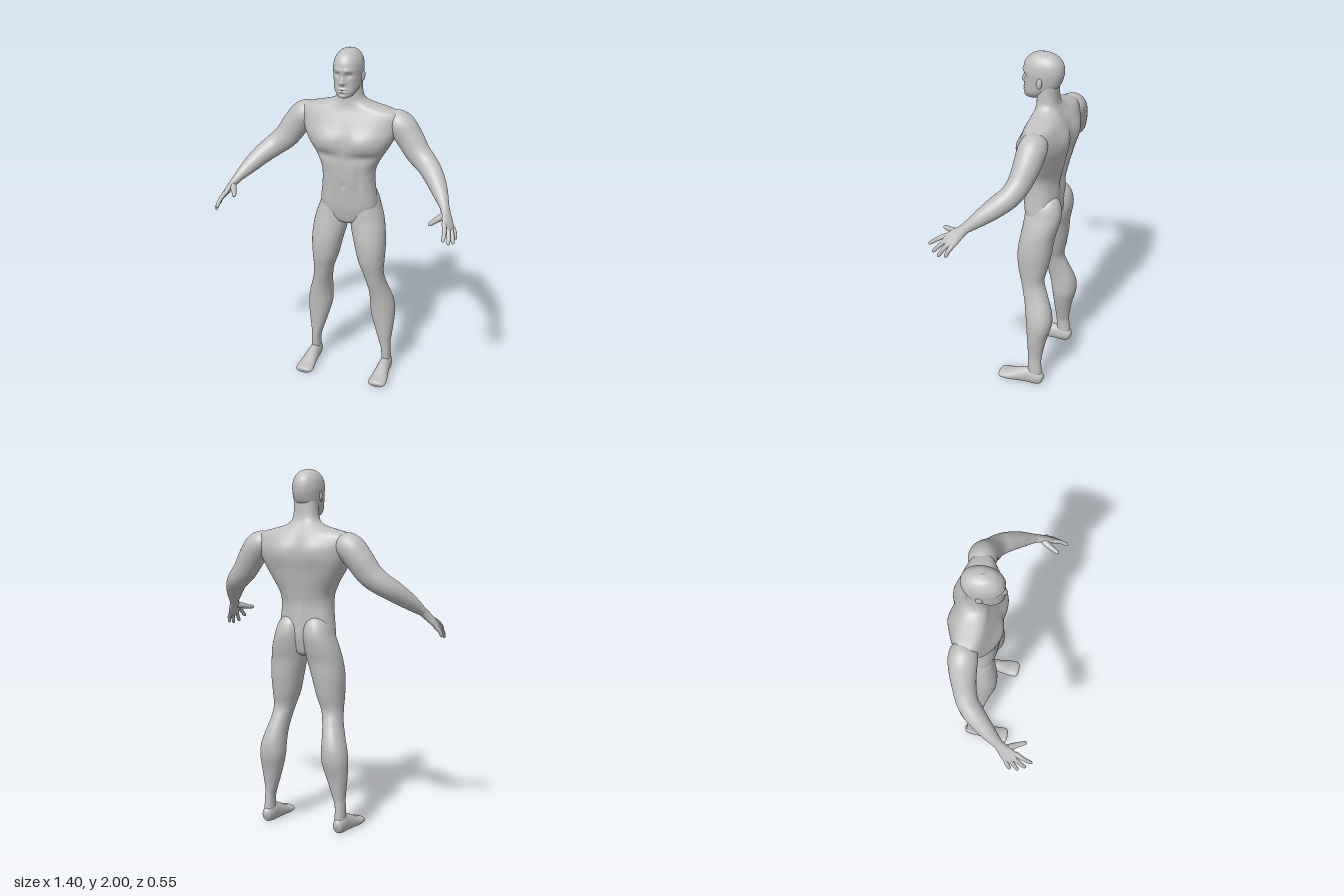
import * as THREE from 'three';

const skin = new THREE.MeshStandardMaterial({ color: 0xc0c0c0 });
skin.name = 'plainGrey';

const bell = (d, s) => Math.exp(-((d / s) ** 2));
const clamp01 = (v) => Math.min(1, Math.max(0, v));

// Smooth interpolation through rows of numbers, u from 0 to 1
function sampleRows(rows, u) {
  const f = u * (rows.length - 1);
  const i = Math.min(Math.floor(f), rows.length - 2);
  const t = f - i;
  const row = (k) => rows[Math.min(Math.max(k, 0), rows.length - 1)];
  return row(i).map((b, k) => {
    const a = row(i - 1)[k], c = row(i + 1)[k], d = row(i + 2)[k];
    return b + 0.5 * t * (c - a + t * (2 * a - 5 * b + 4 * c - d + t * (3 * (b - c) + d - a)));
  });
}

// Closed skin over rings; place(u, cos, sin) returns a point
function skinRings(rings, sides, place) {
  const pos = [], idx = [];
  for (let j = 0; j <= rings; j++) {
    for (let i = 0; i < sides; i++) {
      const a = (i / sides) * Math.PI * 2;
      pos.push(...place(j / rings, Math.cos(a), Math.sin(a)).toArray());
      if (j === rings) continue;
      const p = j * sides + i, q = j * sides + ((i + 1) % sides);
      idx.push(p, p + sides, q, q, p + sides, q + sides);
    }
  }
  const geo = new THREE.BufferGeometry();
  geo.setAttribute('position', new THREE.Float32BufferAttribute(pos, 3));
  geo.setIndex(idx);
  geo.computeVertexNormals();
  return geo;
}

// Upright body part from rows [y, centreX, halfWidth, zFront, zBack]
function uprightLoft(rows, rings, sides, power, warp = () => {}) {
  const round = (v) => Math.sign(v) * Math.pow(Math.abs(v), 2 / power);
  return skinRings(rings, sides, (u, c, s) => {
    const [y, cx, w, zf, zb] = sampleRows(rows, u);
    const p = new THREE.Vector3(cx + Math.max(w, 0) * round(c), y, (zf + zb) / 2 + ((zf - zb) / 2) * round(s));
    warp(p);
    return p;
  });
}

// Limb along a path from rows [x, y, z, radius, depthRadius]
function limb(rows, ref, rings, sides, warp = () => {}) {
  const centre = (u) => new THREE.Vector3(...sampleRows(rows, clamp01(u)).slice(0, 3));
  return skinRings(rings, sides, (u, c, s) => {
    const r = sampleRows(rows, u);
    const along = centre(u + 0.01).sub(centre(u - 0.01)).normalize();
    const side = ref.clone().cross(along).normalize();
    const up = side.clone().cross(along);
    const p = centre(u).addScaledVector(side, c * Math.max(r[3], 0)).addScaledVector(up, s * Math.max(r[4], 0));
    warp(p);
    return p;
  });
}

function mirrored(geo) {
  const g = geo.clone().scale(-1, 1, 1);
  g.setIndex(Array.from(geo.index.array).reverse());
  g.computeVertexNormals();
  return g;
}

export function createModel() {
  const model = new THREE.Group();
  model.name = 'standingFigure';
  const add = (name, geo) => {
    const mesh = new THREE.Mesh(geo, skin);
    mesh.name = name;
    model.add(mesh);
  };
  const addPair = (name, geo) => {
    add('left' + name, geo);
    add('right' + name, mirrored(geo));
  };

  // Torso and neck, with chest, belly line, shoulder blades and spine groove
  const torso = [
    [0.98, 0.02, -0.08, -0.16], [1.0, 0.08, -0.045, -0.19], [1.05, 0.145, -0.03, -0.205],
    [1.1, 0.166, -0.02, -0.214], [1.2, 0.155, -0.01, -0.212], [1.27, 0.15, -0.003, -0.212],
    [1.33, 0.158, 0, -0.225], [1.4, 0.195, 0, -0.243], [1.46, 0.232, 0.008, -0.255],
    [1.52, 0.262, 0.002, -0.265], [1.58, 0.28, -0.022, -0.262], [1.63, 0.285, -0.045, -0.245],
    [1.658, 0.26, -0.058, -0.23], [1.68, 0.18, -0.065, -0.215], [1.697, 0.118, -0.068, -0.205],
    [1.72, 0.083, -0.07, -0.192], [1.76, 0.07, -0.07, -0.184], [1.85, 0.065, -0.075, -0.18],
  ].map(([y, w, f, b]) => [y, 0, w, f, b]);
  add('torso', uprightLoft(torso, 100, 80, 2.35, (p) => {
    const ax = Math.abs(p.x), y = p.y;
    const front = clamp01((p.z + 0.12) / 0.08), back = clamp01((-0.15 - p.z) / 0.06);
    p.z += front * (0.014 * bell(ax - 0.1, 0.07) * bell(y - 1.49, 0.055)
      - 0.01 * bell(p.x, 0.02) * bell(y - 1.5, 0.08)
      - 0.01 * bell(ax - 0.12, 0.08) * bell(y - 1.405, 0.025)
      - 0.006 * bell(p.x, 0.014) * bell(y - 1.3, 0.09)
      - 0.006 * bell(ax - 0.085, 0.016) * bell(y - 1.27, 0.1)
      - 0.007 * bell(p.x, 0.01) * bell(y - 1.235, 0.012));
    p.z += back * (0.02 * bell(p.x, 0.026) * bell(y - 1.42, 0.2)
      - 0.013 * bell(ax - 0.09, 0.055) * bell(y - 1.56, 0.07)
      - 0.005 * bell(ax - 0.05, 0.03) * bell(y - 1.28, 0.08));
  }));

  // Head with brow, eye sockets, nose, lips and chin
  const head = [
    [1.742, 0.006, -0.02, -0.05], [1.75, 0.036, 0, -0.09], [1.77, 0.055, 0.005, -0.12],
    [1.79, 0.066, 0.006, -0.15], [1.82, 0.073, 0.005, -0.185], [1.86, 0.077, 0.006, -0.204],
    [1.9, 0.079, 0.01, -0.211], [1.94, 0.073, 0.003, -0.205], [1.97, 0.058, -0.018, -0.184],
    [1.99, 0.036, -0.048, -0.152], [2.0, 0.001, -0.099, -0.101],
  ].map(([y, w, f, b]) => [y, 0, w, f, b]);
  add('head', uprightLoft(head, 110, 96, 2.15, (p) => {
    const ax = Math.abs(p.x), y = p.y;
    const front = clamp01((p.z + 0.07) / 0.04);
    const noseWidth = y > 1.845 ? 0.011 : 0.015;
    p.z += front * (0.021 * bell(p.x, noseWidth) * bell(y - 1.832, y > 1.832 ? 0.033 : 0.012)
      - 0.012 * bell(ax - 0.033, 0.018) * bell(y - 1.873, 0.014)
      + 0.005 * bell(ax - 0.03, 0.03) * bell(y - 1.9, 0.012)
      + 0.007 * bell(p.x, 0.024) * (bell(y - 1.798, 0.006) + bell(y - 1.782, 0.006))
      + 0.006 * bell(p.x, 0.025) * bell(y - 1.757, 0.012));
  }));
  addPair('Ear', new THREE.SphereGeometry(1, 20, 14).scale(0.009, 0.03, 0.018)
    .rotateX(-0.2).rotateY(-0.3).translate(0.079, 1.852, -0.105));

  // Legs: ankle, calf, knee, thigh and buttock
  addPair('Leg', uprightLoft([
    [0.03, 0.228, 0.026, -0.12, -0.195], [0.08, 0.227, 0.027, -0.113, -0.195],
    [0.15, 0.225, 0.027, -0.11, -0.19], [0.2, 0.218, 0.034, -0.108, -0.192],
    [0.31, 0.207, 0.058, -0.1, -0.212], [0.4, 0.198, 0.072, -0.093, -0.236],
    [0.47, 0.192, 0.069, -0.085, -0.238], [0.54, 0.18, 0.06, -0.073, -0.22],
    [0.61, 0.165, 0.055, -0.055, -0.193], [0.68, 0.152, 0.06, -0.038, -0.172],
    [0.76, 0.14, 0.076, -0.018, -0.188], [0.86, 0.13, 0.09, -0.012, -0.205],
    [0.95, 0.115, 0.098, -0.022, -0.215], [1.02, 0.103, 0.096, -0.033, -0.232],
    [1.09, 0.09, 0.085, -0.04, -0.244], [1.15, 0.083, 0.072, -0.06, -0.235],
    [1.19, 0.08, 0.045, -0.1, -0.212], [1.21, 0.08, 0, -0.14, -0.18],
  ], 90, 48, 2.15));

  // Feet, flattened at the sole
  addPair('Foot', limb([
    [0.228, 0.04, -0.208, 0, 0], [0.228, 0.042, -0.196, 0.024, 0.034], [0.228, 0.045, -0.16, 0.033, 0.05],
    [0.228, 0.045, -0.11, 0.035, 0.052], [0.23, 0.034, -0.05, 0.042, 0.042], [0.232, 0.024, 0, 0.05, 0.03],
    [0.231, 0.02, 0.04, 0.052, 0.024], [0.23, 0.02, 0.062, 0.042, 0.018], [0.23, 0.018, 0.069, 0, 0],
  ], new THREE.Vector3(0, 1, 0), 48, 36, (p) => { p.y = Math.max(p.y, 0); }));

  // Arms from shoulder cap to wrist
  addPair('Arm', limb([
    [0.18, 1.605, -0.155, 0.03, 0.03], [0.235, 1.597, -0.156, 0.066, 0.066], [0.285, 1.578, -0.156, 0.077, 0.078],
    [0.335, 1.518, -0.15, 0.072, 0.076], [0.39, 1.442, -0.135, 0.063, 0.07], [0.45, 1.39, -0.11, 0.058, 0.062],
    [0.5, 1.35, -0.065, 0.056, 0.056], [0.55, 1.3, -0.003, 0.046, 0.046], [0.585, 1.26, 0.047, 0.034, 0.034],
    [0.615, 1.224, 0.092, 0.024, 0.02],
  ], new THREE.Vector3(0.65, 0.75, 0), 70, 36));

  // Hands: palm, then four fingers fanned along the knuckle line, then thumb
  const palmNormal = new THREE.Vector3(-0.82, -0.55, -0.14);
  addPair('Palm', limb([
    [0.605, 1.236, 0.077, 0.026, 0.026], [0.622, 1.21, 0.105, 0.033, 0.021], [0.638, 1.184, 0.132, 0.042, 0.018],
    [0.652, 1.16, 0.156, 0.044, 0.015], [0.659, 1.148, 0.168, 0.032, 0.01], [0.662, 1.143, 0.173, 0, 0],
  ], palmNormal, 30, 28));

  const across = new THREE.Vector3(0.46, -0.5, -0.73);
  const fingers = [
    ['IndexFinger', -0.034, [0.65, 1.12, 0.27]], ['MiddleFinger', -0.011, [0.673, 1.091, 0.238]],
    ['RingFinger', 0.011, [0.689, 1.081, 0.2]], ['LittleFinger', 0.033, [0.691, 1.09, 0.155]],
  ];
  const digit = (base, tip, bend, r0, r1) => {
    const at = (t) => base.clone().lerp(tip, t).addScaledVector(palmNormal, -bend * Math.sin(Math.PI * t)).toArray();
    return limb([[0, r0], [0.3, r0], [0.6, (r0 + r1) / 2], [0.92, r1], [1, 0]].map(([t, r]) => [...at(t), r, r]),
      palmNormal, 24, 14);
  };
  for (const [name, offset, tip] of fingers) {
    const base = new THREE.Vector3(0.645, 1.168, 0.149).addScaledVector(across, offset);
    addPair(name, digit(base, new THREE.Vector3(...tip), 0.008, 0.0125, 0.009));
  }
  addPair('Thumb', digit(new THREE.Vector3(0.622, 1.209, 0.115), new THREE.Vector3(0.56, 1.185, 0.226), -0.004, 0.018, 0.01));

  return model;
}
